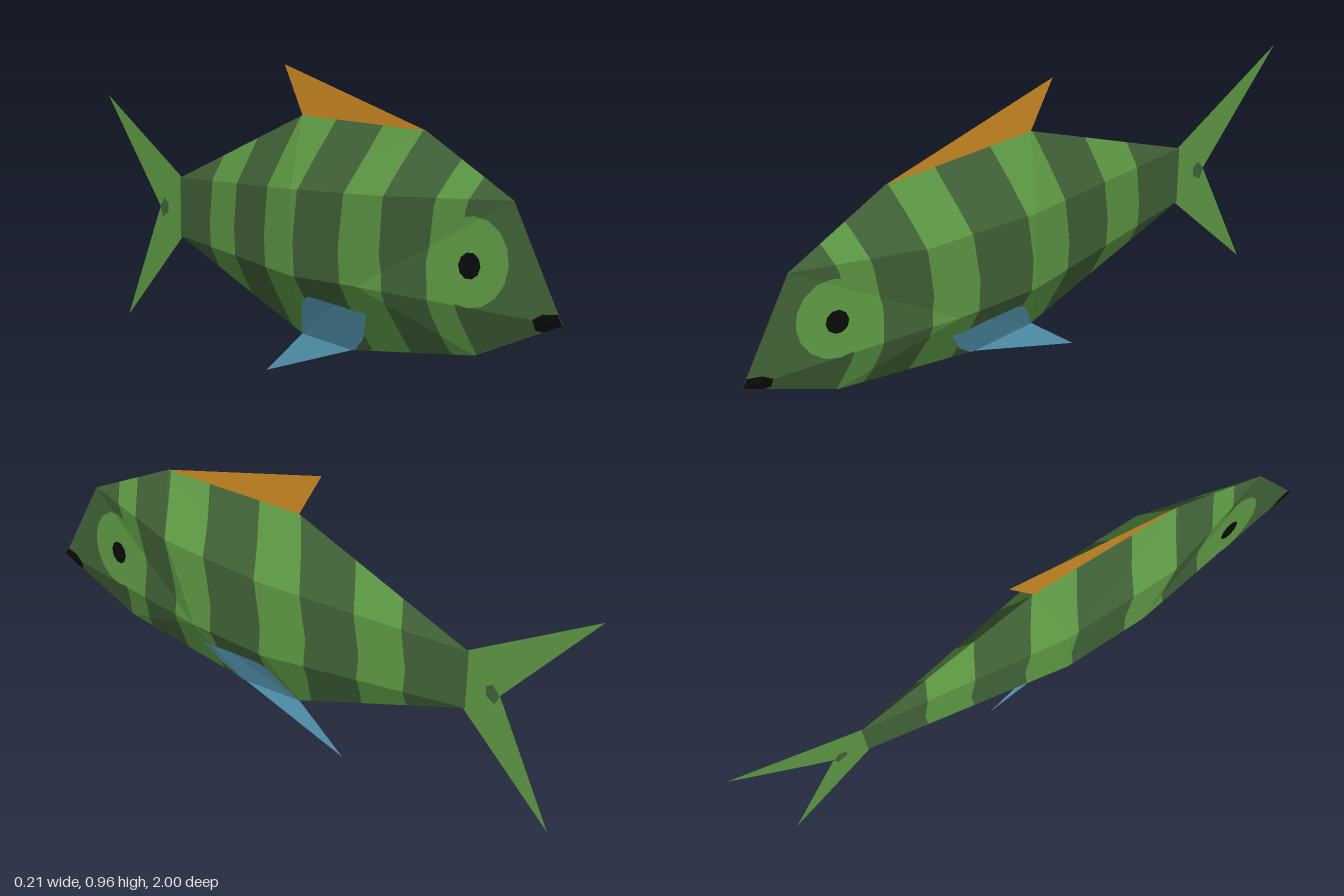
import * as THREE from 'three';

const mat = (name, color, side = THREE.FrontSide) => {
  const m = new THREE.MeshStandardMaterial({ color, side });
  m.name = name;
  return m;
};

// Body corners as [z, y, half width]: nose, top ridge T, upper side U, lower side L, belly B
const N = [1, 0.325, 0], T0 = [0.83, 0.635, 0], T1 = [0.51, 0.8, 0], T2 = [0, 0.815, 0], T3 = [-0.6, 0.575, 0];
const U1 = [0.44, 0.62, 0.105], U2 = [0.06, 0.605, 0.105];
const L1 = [0.34, 0.35, 0.105], L2 = [0.06, 0.345, 0.105], L3 = [-0.6, 0.38, 0];
const B0 = [0.7, 0.195, 0], B1 = [0.22, 0.13, 0], B2 = [0, 0.145, 0];
const facets = [
  [N, T0, L1], [T0, U1, L1], [T0, T1, U1], [T1, T2, U2], [T1, U2, U1], [T2, T3, U2],
  [U1, U2, L2], [U1, L2, L1], [U2, T3, L3], [U2, L3, L2],
  [L2, L3, B2], [L1, L2, B2], [L1, B2, B1], [L1, B1, B0], [N, L1, B0],
];

// Twice the signed area; positive means the polygon faces +x
const area = (p) => p.reduce((s, a, i) => {
  const b = p[(i + 1) % p.length];
  return s + a[1] * b[0] - a[0] * b[1];
}, 0);
const facing = (p) => (area(p) < 0 ? [...p].reverse() : p);

// Cut a facet down to the part inside a convex side-view outline
function clip(poly, outline) {
  outline.forEach((a, i) => {
    const b = outline[(i + 1) % outline.length];
    const dist = (p) => (b[0] - a[0]) * (a[1] - p[1]) - (b[1] - a[1]) * (a[0] - p[0]);
    const out = [];
    poly.forEach((p, j) => {
      const q = poly[(j + 1) % poly.length], dp = dist(p), dq = dist(q);
      if (dp >= 0) out.push(p);
      if ((dp > 0 && dq < 0) || (dp < 0 && dq > 0)) {
        const t = dp / (dp - dq);
        out.push(p.map((v, k) => v + (q[k] - v) * t));
      }
    });
    poly = out;
  });
  return poly;
}

// Skin on both flanks inside the outlines, raised by lift
function skin(outlines, lift = 0) {
  const pos = [];
  for (const o of outlines) for (const f of facets) {
    const p = clip(facing(f), facing(o));
    if (p.length < 3 || Math.abs(area(p)) < 1e-7) continue;
    for (let i = 1; i < p.length - 1; i++) {
      const tri = [p[0], p[i], p[i + 1]];
      for (const [z, y, x] of tri) pos.push(x + lift, y, z);
      for (const [z, y, x] of tri.reverse()) pos.push(-x - lift, y, z);
    }
  }
  const g = new THREE.BufferGeometry();
  g.setAttribute('position', new THREE.Float32BufferAttribute(pos, 3));
  g.computeVertexNormals();
  return g;
}

const ellipse = (z, y, rz, ry, n) => Array.from({ length: n }, (_, i) => {
  const a = (i / n) * Math.PI * 2;
  return [z + rz * Math.cos(a), y + ry * Math.sin(a)];
});

// Flat fin in the middle plane from [z, y] corners
function finSheet(points, x = 0) {
  const g = new THREE.ShapeGeometry(new THREE.Shape(points.map(([z, y]) => new THREE.Vector2(-z, y))));
  return g.rotateY(Math.PI / 2).translate(x, 0, 0);
}

export function createModel() {
  const light = mat('light green', 0x5e9a45);
  const dark = mat('dark green', 0x426338);
  const black = mat('black', 0x0a0a0a);
  const tailGreen = mat('tail green', 0x5e9a45, THREE.DoubleSide);
  const notchGreen = mat('notch green', 0x426338, THREE.DoubleSide);
  const orange = mat('orange', 0xd08c24, THREE.DoubleSide);
  const blue = mat('blue', 0x5ca5c2, THREE.DoubleSide);

  const fish = new THREE.Group();
  fish.name = 'fish';
  const add = (name, geometry, material) => {
    const m = new THREE.Mesh(geometry, material);
    m.name = name;
    fish.add(m);
  };

  // Body in alternating curved stripes
  const edges = [1.3, 0.66, 0.57, 0.42, 0.265, 0.07, -0.085, -0.26, -0.41, -0.9];
  const bend = [[0, 0.07], [0.15, 0.04], [0.3, 0.01], [0.45, 0], [0.6, 0.02], [0.7, 0.045], [0.85, 0.09]];
  const at = (e, [y, d]) => [e + d * (1 + 2 * Math.max(0, Math.min(e, 0.7) - 0.4)), y];
  const stripes = [[], []];
  for (let s = 0; s < edges.length - 1; s++) for (let b = 0; b < bend.length - 1; b++) {
    stripes[s % 2].push([
      at(edges[s], bend[b]), at(edges[s + 1], bend[b]),
      at(edges[s + 1], bend[b + 1]), at(edges[s], bend[b + 1]),
    ]);
  }
  add('darkBodyStripes', skin(stripes[0]), dark);
  add('lightBodyStripes', skin(stripes[1]), light);

  // Face
  add('eyeRings', skin([ellipse(0.712, 0.46, 0.118, 0.125, 16)], 0.0015), light);
  add('eyes', skin([ellipse(0.71, 0.45, 0.035, 0.037, 10)], 0.003), black);
  add('mouth', skin([[[1.01, 0.32], [0.985, 0.352], [0.94, 0.347], [0.912, 0.33], [0.915, 0.3], [0.96, 0.295]]], 0.002), black);

  // Belly fin: patch on the flanks and a flat tip below
  add('bellyFinPatches', skin([[[0.34, 0.265], [0.105, 0.285], [0.07, 0.265], [0, 0.145], [0.22, 0.12], [0.29, 0.18]]], 0.002), blue);
  add('bellyFin', finSheet([[0.22, 0.13], [0, 0.145], [-0.17, 0]]), blue);

  // Back fin
  add('backFin', finSheet([[0.51, 0.8], [0, 0.815], [-0.08, 0.965]]), orange);

  // Forked tail with a dark notch
  add('tailFin', finSheet([[-0.59, 0.575], [-1, 0.83], [-0.71, 0.47], [-0.9, 0.07], [-0.59, 0.38]]), tailGreen);
  for (const x of [-0.002, 0.002]) {
    add('tailNotch', finSheet([[-0.685, 0.5], [-0.71, 0.47], [-0.695, 0.435], [-0.665, 0.455], [-0.665, 0.485]], x), notchGreen);
  }
  return fish;
}
